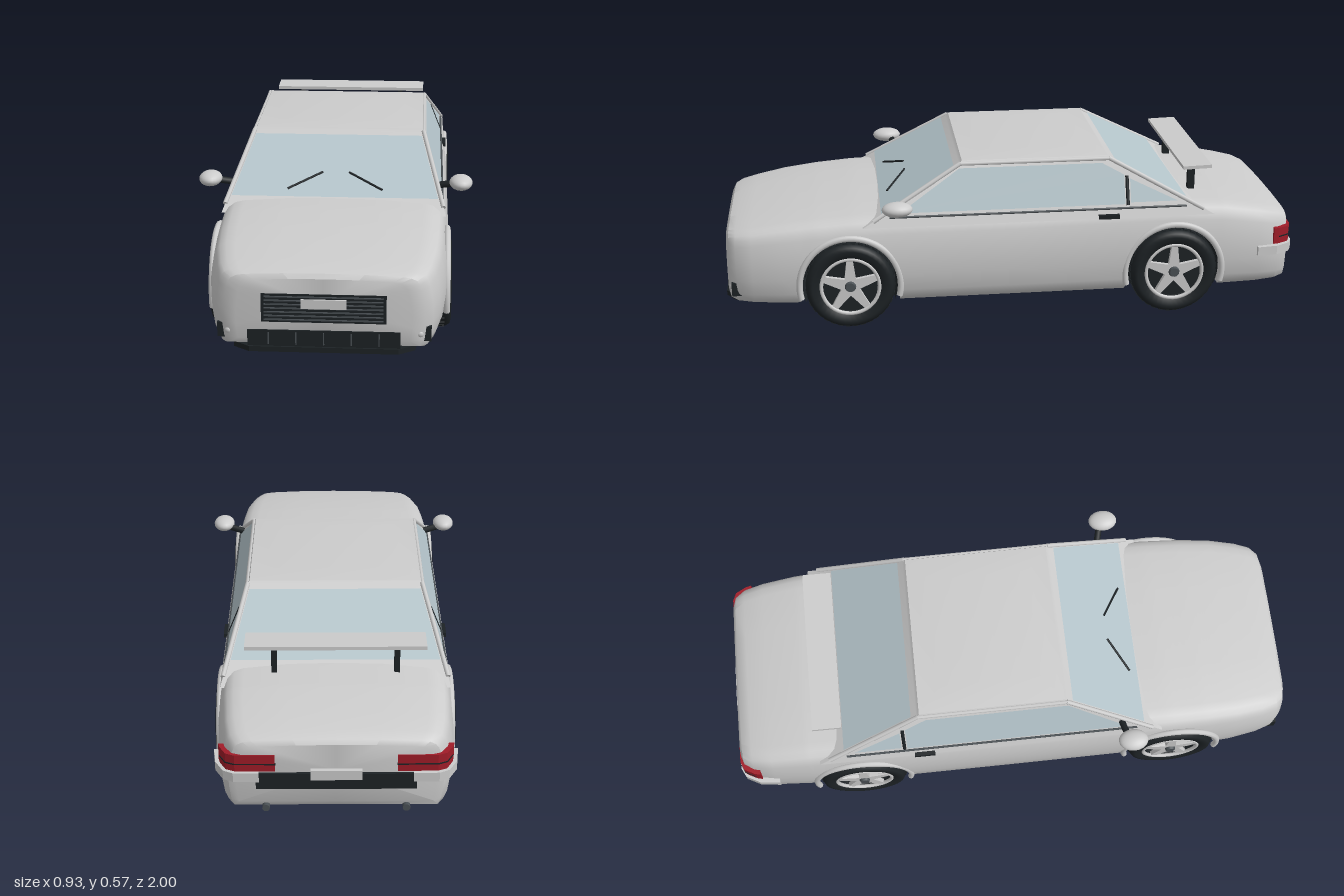
import * as THREE from 'three';
import { mergeGeometries, toCreasedNormals } from 'three/addons/utils/BufferGeometryUtils.js';

const mat = (color, side = THREE.FrontSide) => new THREE.MeshStandardMaterial({ color, side });
const paint = mat(0xcccccc);
const dark = mat(0x1d2225, THREE.DoubleSide);
const trim = mat(0x4a5054);
const glass = mat(0xb4c4ca, THREE.DoubleSide);
const red = mat(0xa01c28);
const lamp = mat(0xf0f0f0);

function add(parent, name, geo, material, x = 0, y = 0, z = 0) {
  const m = new THREE.Mesh(geo, material);
  m.name = name;
  m.position.set(x, y, z);
  parent.add(m);
  return m;
}

// Box given by its limits on each axis
function box(parent, name, material, [x0, x1], [y0, y1], [z0, z1]) {
  return add(parent, name, new THREE.BoxGeometry(x1 - x0, y1 - y0, z1 - z0), material,
    (x0 + x1) / 2, (y0 + y1) / 2, (z0 + z1) / 2);
}

// Straight rod between two points
function rod(parent, name, material, a, b, r) {
  const p = new THREE.Vector3(...a), q = new THREE.Vector3(...b);
  const m = add(parent, name, new THREE.CylinderGeometry(r, r, p.distanceTo(q), 8), material);
  m.position.copy(p).lerp(q, 0.5);
  m.quaternion.setFromUnitVectors(new THREE.Vector3(0, 1, 0), q.sub(p).normalize());
  return m;
}

// Plan outline of [x, z] points raised from y0 to y1
function plan(parent, name, material, pts, y0, y1) {
  const shape = new THREE.Shape(pts.map(([x, z]) => new THREE.Vector2(x, -z)));
  const geo = new THREE.ExtrudeGeometry(shape, { depth: y1 - y0, bevelEnabled: false });
  return add(parent, name, geo.rotateX(-Math.PI / 2), material, 0, y0, 0);
}

// Flat convex pane
function pane(parent, name, pts) {
  const geo = new THREE.BufferGeometry();
  geo.setAttribute('position', new THREE.Float32BufferAttribute(pts.flat(), 3));
  geo.setIndex(pts.slice(2).flatMap((_, i) => [0, i + 1, i + 2]));
  geo.computeVertexNormals();
  return add(parent, name, geo, glass);
}

// Skin over closed rings, with both ends capped
function loft(rings, crease) {
  const n = rings[0].length, pos = rings.flat(2), idx = [];
  for (let i = 0; i < rings.length - 1; i++) {
    for (let j = 0; j < n; j++) {
      const k = (j + 1) % n;
      const a = i * n + j, b = i * n + k, c = b + n, d = a + n;
      idx.push(a, d, b, b, d, c);
    }
  }
  [rings[0], rings[rings.length - 1]].forEach((ring, e) => {
    const centre = [0, 1, 2].map(k => ring.reduce((s, p) => s + p[k], 0) / n);
    const c = pos.length / 3, o = e ? (rings.length - 1) * n : 0;
    pos.push(...centre);
    for (let j = 0; j < n; j++) {
      const k = (j + 1) % n;
      idx.push(c, o + (e ? k : j), o + (e ? j : k));
    }
  });
  const geo = new THREE.BufferGeometry();
  geo.setAttribute('position', new THREE.Float32BufferAttribute(pos, 3));
  geo.setIndex(idx);
  return toCreasedNormals(geo, crease);
}

const AXLES = [0.57, -0.56], AXLE_Y = 0.155, ARCH = 0.17, SILL = 0.085;

// Body stations: z, half width, top height, bottom height
const STATIONS = [
  [0.99, 0.27, 0.312, 0.12], [0.98, 0.31, 0.326, 0.10], [0.955, 0.335, 0.335, 0.09],
  [0.9, 0.354, 0.345, SILL], [0.8, 0.372, 0.362, SILL], [0.68, 0.381, 0.376, SILL],
  [0.55, 0.385, 0.386, SILL], [0.4, 0.386, 0.39, SILL], [0, 0.387, 0.39, SILL],
  [-0.4, 0.387, 0.398, SILL], [-0.6, 0.385, 0.398, SILL], [-0.75, 0.38, 0.387, SILL],
  [-0.87, 0.371, 0.365, SILL], [-0.94, 0.357, 0.35, 0.09], [-0.975, 0.335, 0.336, 0.10],
  [-0.985, 0.31, 0.322, 0.12],
];
// Side outline: height fraction, width fraction
const SIDE = [
  [0, 0.9], [0.05, 0.95], [0.15, 0.98], [0.35, 1], [0.55, 1], [0.7, 0.985], [0.82, 0.965],
  [0.9, 0.945], [0.95, 0.915], [0.985, 0.86], [1, 0.78], [1.02, 0.4],
];

function lookUp(table, v, col) {
  const i = Math.max(1, table.findIndex((r, k) => k && (v - r[0]) * (v - table[k - 1][0]) <= 0));
  const [a, b] = [table[i - 1], table[i]];
  return a[col] + (b[col] - a[col]) * (v - a[0]) / (b[0] - a[0]);
}

function bodyGeometry() {
  const cuts = STATIONS.filter(s => AXLES.every(c => Math.abs(s[0] - c) > ARCH + 0.005)).map(s => [s[0], s[3]]);
  // Wheel openings lift the bottom edge along an arc
  for (const c of AXLES) {
    const arc = [[c + ARCH, SILL]];
    for (let i = 0; i <= 20; i++) {
      const a = i / 20 * Math.PI;
      arc.push([c + ARCH * Math.cos(a), AXLE_Y + ARCH * Math.sin(a)]);
    }
    arc.push([c - ARCH, SILL]);
    const at = cuts.findIndex(s => s[0] < c);
    cuts.splice(at, 0, ...arc);
  }
  return loft(cuts.map(([z, b]) => {
    const w = lookUp(STATIONS, z, 1), h = lookUp(STATIONS, z, 2) - SILL;
    const half = SIDE.map(([u]) => {
      const v = Math.max(u, (b - SILL) / h);
      return [w * lookUp(SIDE, v, 1), SILL + v * h, z];
    });
    return [[0, b, z], ...half, [0, SILL + h * 1.025, z], ...half.reverse().map(([x, y]) => [-x, y, z])];
  }), 0.6);
}

// Planes of the cabin at a given height
const sideX = y => 0.297 + (0.552 - y) * 0.4;
const frontZ = y => 0.185 + (0.552 - y) * 1.75;
const rearZ = y => -0.34 - (0.552 - y) * 1.87;

function makeWheel() {
  const wheel = new THREE.Group();
  wheel.name = 'wheel';
  const profile = [[0.1, -0.045], [0.13, -0.053], [0.143, -0.049], [0.152, -0.034], [0.153, 0],
    [0.152, 0.034], [0.143, 0.049], [0.13, 0.053], [0.103, 0.046], [0.097, 0.03]];
  add(wheel, 'tyre', new THREE.LatheGeometry(profile.map(p => new THREE.Vector2(...p)), 40)
    .rotateZ(-Math.PI / 2), dark);
  const blocks = [];
  for (let i = 0; i < 72; i++) {
    blocks.push(new THREE.BoxGeometry(0.028, 0.006, 0.016)
      .translate(i % 2 ? 0.018 : -0.018, 0.152, 0).rotateX(i / 72 * Math.PI * 2));
  }
  add(wheel, 'tread', mergeGeometries(blocks), dark);
  add(wheel, 'wheelBack', new THREE.CylinderGeometry(0.1, 0.1, 0.04, 32).rotateZ(Math.PI / 2), dark);
  add(wheel, 'rim', new THREE.TorusGeometry(0.1, 0.007, 8, 40).rotateY(Math.PI / 2), paint, 0.043);
  // Five tapered spokes
  const star = [];
  for (let k = 0; k < 5; k++) {
    for (const [t, r] of [[-0.1, 0.1], [0.1, 0.1], [Math.PI / 5, 0.033]]) {
      const a = Math.PI / 2 + k * Math.PI * 0.4 + t;
      star.push(new THREE.Vector2(r * Math.cos(a), r * Math.sin(a)));
    }
  }
  add(wheel, 'spokes', new THREE.ExtrudeGeometry(new THREE.Shape(star), { depth: 0.015, bevelEnabled: false })
    .rotateY(Math.PI / 2), paint, 0.03);
  add(wheel, 'hubCap', new THREE.CylinderGeometry(0.016, 0.02, 0.01, 16).rotateZ(-Math.PI / 2), trim, 0.049);
  return wheel;
}

// Everything on the car's left, mirrored for the right
function makeSide() {
  const s = new THREE.Group();
  s.name = 'sideParts';
  for (const z of AXLES) {
    const wheel = makeWheel();
    wheel.position.set(0.342, AXLE_Y, z);
    s.add(wheel);
    add(s, 'archFlare', new THREE.TorusGeometry(0.173, 0.011, 8, 36, Math.PI + 0.5).rotateZ(-0.25)
      .rotateY(Math.PI / 2), paint, 0.379, AXLE_Y, z);
  }
  const sidePane = pts => pts.map(([z, y]) => [sideX(y) + 0.004, y, z]);
  pane(s, 'doorWindow', sidePane([[0.395, 0.405], [0.185, 0.54], [-0.31, 0.54], [-0.385, 0.5], [-0.385, 0.405]]));
  pane(s, 'quarterWindow', sidePane([[-0.405, 0.41], [-0.405, 0.487], [-0.57, 0.41]]));
  rod(s, 'windowDivider', dark, [sideX(0.4), 0.4, -0.395], [sideX(0.495), 0.495, -0.395], 0.006);
  const edge = (f, y) => [sideX(y), y, f(y)];
  rod(s, 'frontPillar', paint, edge(frontZ, 0.38), edge(frontZ, 0.555), 0.008);
  rod(s, 'rearPillar', paint, edge(rearZ, 0.38), edge(rearZ, 0.555), 0.008);
  rod(s, 'roofGutter', paint, edge(frontZ, 0.553), edge(rearZ, 0.553), 0.007);
  rod(s, 'beltTrim', trim, [sideX(0.392) + 0.002, 0.392, 0.43], [sideX(0.392) + 0.002, 0.392, -0.6], 0.004);
  box(s, 'doorHandle', dark, [0.355, 0.382], [0.36, 0.374], [-0.362, -0.29]);
  // Door mirror
  rod(s, 'mirrorArm', dark, [0.345, 0.422, 0.375], [0.405, 0.435, 0.39], 0.012);
  add(s, 'mirror', new THREE.SphereGeometry(1, 20, 14).scale(0.039, 0.025, 0.052), paint, 0.424, 0.443, 0.405);
  rod(s, 'wiper', dark, [0.045, 0.457, frontZ(0.457) + 0.009], [0.16, 0.418, frontZ(0.418) + 0.009], 0.004);
  // Lamps and bumper ends
  box(s, 'fogLampHousing', dark, [0.265, 0.33], [0.115, 0.163], [0.9, 0.975]);
  add(s, 'fogLamp', new THREE.SphereGeometry(0.014, 16, 10), lamp, 0.295, 0.14, 0.972);
  plan(s, 'tailLamp', red, [[0.19, -0.99], [0.315, -0.989], [0.343, -0.977], [0.363, -0.94],
    [0.368, -0.92], [0.3, -0.92], [0.19, -0.95]], 0.235, 0.293);
  plan(s, 'tailLampDivider', dark, [[0.188, -0.992], [0.316, -0.991], [0.345, -0.978], [0.365, -0.94],
    [0.3, -0.92], [0.188, -0.95]], 0.259, 0.263);
  plan(s, 'rearBumperEnd', paint, [[0.24, -0.998], [0.32, -0.996], [0.352, -0.98], [0.379, -0.93],
    [0.387, -0.86], [0.3, -0.86], [0.24, -0.95]], 0.2, 0.232);
  add(s, 'exhaust', new THREE.CylinderGeometry(0.012, 0.012, 0.08, 16).rotateX(Math.PI / 2), trim, 0.22, 0.1, -0.955);
  box(s, 'wingPost', dark, [0.19, 0.208], [0.38, 0.502], [-0.665, -0.64]);
  return s;
}

export function createModel() {
  const car = new THREE.Group();
  car.name = 'car';
  add(car, 'body', bodyGeometry(), paint);
  for (const z of AXLES) {
    add(car, 'wheelWell', new THREE.CylinderGeometry(0.167, 0.167, 0.7, 32, 1, true, -0.42, Math.PI + 0.84)
      .rotateZ(Math.PI / 2), dark, 0, AXLE_Y, z);
  }

  // Cabin shell with a gently crowned roof
  const ring = (y, x, zf, zr) => [[x, y, zf], [x, y, zr], [-x, y, zr], [-x, y, zf]];
  add(car, 'cabin', loft([ring(0.572, 0.2, 0.1, -0.25), ring(0.563, 0.29, 0.175, -0.33),
    ...[0.552, 0.36].map(y => ring(y, sideX(y), frontZ(y), rearZ(y)))], 0.5), paint);
  const endPane = (f, off, lo, hi) => [[-1, lo], [1, lo], [1, hi], [-1, hi]]
    .map(([s, y]) => [s * (sideX(y) - 0.01), y, f(y) + off]);
  pane(car, 'windscreen', endPane(frontZ, 0.006, 0.4, 0.545));
  pane(car, 'rearWindow', endPane(rearZ, -0.006, 0.412, 0.545));

  // Nose
  box(car, 'grille', dark, [-0.192, 0.192], [0.175, 0.268], [0.95, 0.992]);
  for (let i = 0; i < 7; i++) {
    const y = 0.184 + i * 0.0125;
    box(car, 'grilleSlat', trim, [-0.183, 0.183], [y - 0.002, y + 0.002], [0.98, 0.995]);
  }
  box(car, 'frontPlate', paint, [-0.07, 0.07], [0.222, 0.252], [0.98, 0.998]);
  box(car, 'frontAirDam', dark, [-0.235, 0.235], [0.09, 0.149], [0.92, 0.994]);
  for (let i = -2; i <= 2; i++) box(car, 'airDamRib', trim, [i * 0.085 - 0.002, i * 0.085 + 0.002], [0.102, 0.142], [0.98, 0.996]);
  plan(car, 'frontLip', dark, [[-0.29, 0.9], [-0.28, 0.965], [-0.23, 1], [0.23, 1], [0.28, 0.965], [0.29, 0.9]], 0.079, 0.096);

  // Tail
  box(car, 'rearBumperStrip', dark, [-0.25, 0.25], [0.172, 0.228], [-0.995, -0.95]);
  box(car, 'rearPlate', paint, [-0.08, 0.08], [0.208, 0.242], [-1, -0.96]);
  const wing = box(car, 'rearWing', paint, [-0.292, 0.292], [0.5, 0.512], [-0.703, -0.602]);
  wing.rotation.x = 0.03;

  const left = makeSide();
  const right = left.clone();
  right.scale.x = -1;
  car.add(left, right);
  return car;
}
